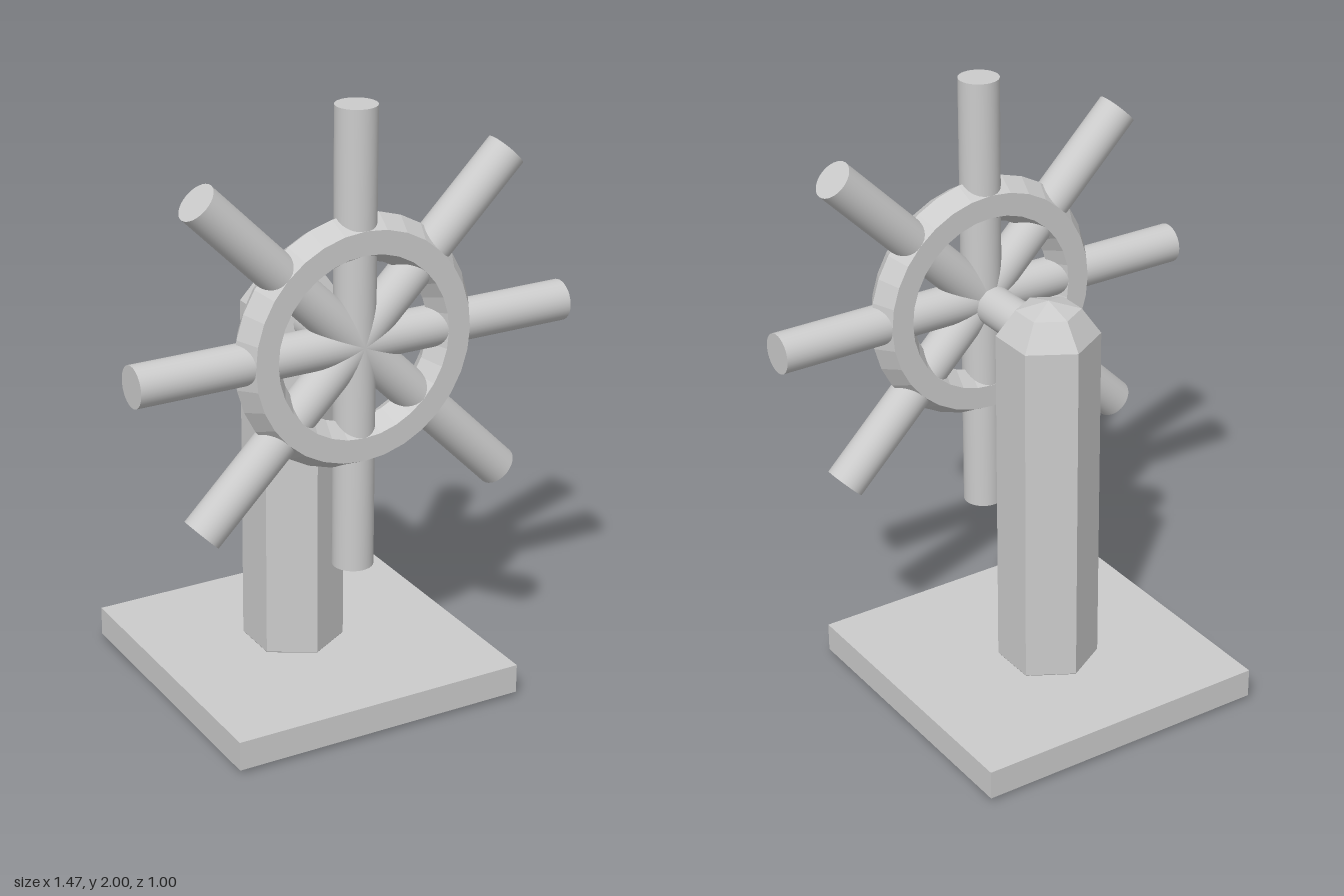
import * as THREE from 'three';

const HUB = { x: 0, y: 1.264, z: 0.325 };
const TUBE = 0.065;

export function createModel() {
  const model = new THREE.Group();
  const smooth = new THREE.MeshStandardMaterial({ color: 0xcccccc });
  const flat = new THREE.MeshStandardMaterial({ color: 0xcccccc, flatShading: true });

  const add = (parent, name, geometry, material, x = 0, y = 0, z = 0) => {
    const mesh = new THREE.Mesh(geometry, material);
    mesh.name = name;
    mesh.position.set(x, y, z);
    parent.add(mesh);
    return mesh;
  };

  // Square base plate
  add(model, 'base', new THREE.BoxGeometry(1, 0.097, 1), flat, 0.01, 0.0635, 0);

  // Hexagonal post with bevelled, pointed ends; its lower tip pokes through the base
  const profile = [
    [0, 0], [0.102, 0.03], [0.163, 0.115],
    [0.163, 1.275], [0.102, 1.36], [0, 1.39],
  ].map(([r, y]) => new THREE.Vector2(r, y));
  add(model, 'post', new THREE.LatheGeometry(profile, 6), flat, -0.01, 0, -0.042);

  // Axle from the post to the wheel
  const axle = new THREE.CylinderGeometry(TUBE, TUBE, 0.36, 32).rotateX(Math.PI / 2);
  add(model, 'axle', axle, smooth, -0.01, 1.25, 0.14);

  // Wheel: faceted rim crossed by four full-length bars
  const wheel = new THREE.Group();
  wheel.name = 'wheel';
  wheel.position.set(HUB.x, HUB.y, HUB.z);
  model.add(wheel);
  add(wheel, 'rim', new THREE.TorusGeometry(0.33, 0.075, 6, 32), flat);
  const bar = new THREE.CylinderGeometry(TUBE, TUBE, 1.473, 32);
  for (let i = 0; i < 4; i++) {
    add(wheel, 'spokeBar', bar, smooth).rotation.z = (i * Math.PI) / 4;
  }

  return model;
}
